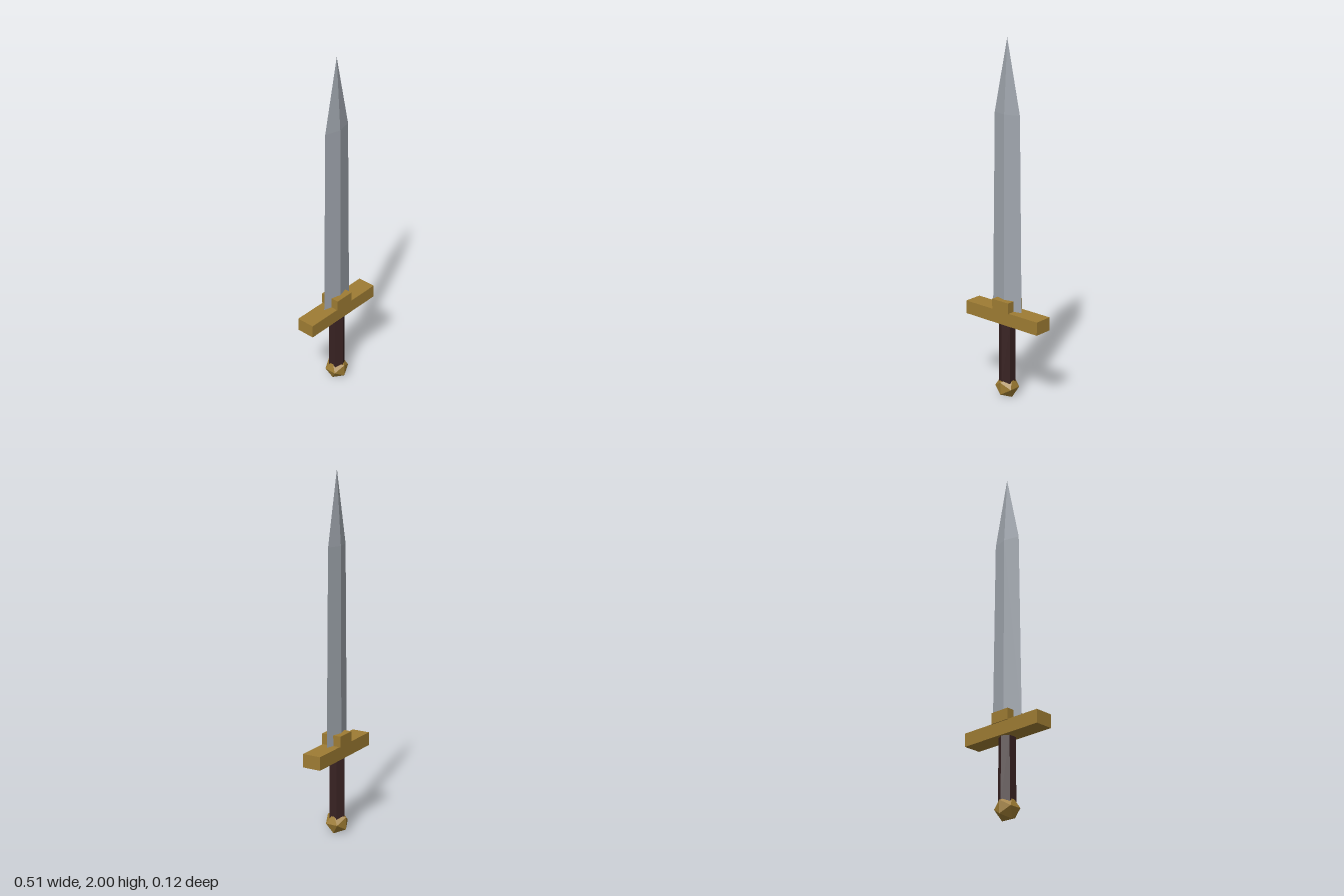
import * as THREE from 'three';

const steel = new THREE.MeshStandardMaterial({ color: 0xa0a6ae });
steel.name = 'steel';
const brass = new THREE.MeshStandardMaterial({ color: 0x9e7c33 });
brass.name = 'brass';
const darkLeather = new THREE.MeshStandardMaterial({ color: 0x382222 });
darkLeather.name = 'darkLeather';

// Split shared corners so that every face is flat shaded
function faceted(geometry) {
  const flat = geometry.index ? geometry.toNonIndexed() : geometry;
  flat.computeVertexNormals();
  return flat;
}

export function createModel() {
  const sword = new THREE.Group();
  sword.name = 'sword';

  function add(name, geometry, material, y) {
    const mesh = new THREE.Mesh(faceted(geometry), material);
    mesh.name = name;
    mesh.position.y = y;
    sword.add(mesh);
  }

  // Blade: diamond section, slight taper, then a long point
  const profile = [[0, 0.5], [0.104, 0.5], [0.088, 1.6], [0, 2]]
    .map(([r, y]) => new THREE.Vector2(r, y));
  add('blade', new THREE.LatheGeometry(profile, 4).scale(1, 1, 0.275), steel, 0);

  // Crossguard with a block around the blade's root
  add('crossguard', new THREE.BoxGeometry(0.514, 0.075, 0.106), brass, 0.4775);
  add('guardBlock', new THREE.BoxGeometry(0.116, 0.062, 0.116), brass, 0.544);

  // Six-sided grip
  add('grip', new THREE.CylinderGeometry(0.046, 0.048, 0.37, 6), darkLeather, 0.265);

  // Faceted pommel
  add('pommel', new THREE.IcosahedronGeometry(0.068, 0), brass, 0.058);

  return sword;
}
